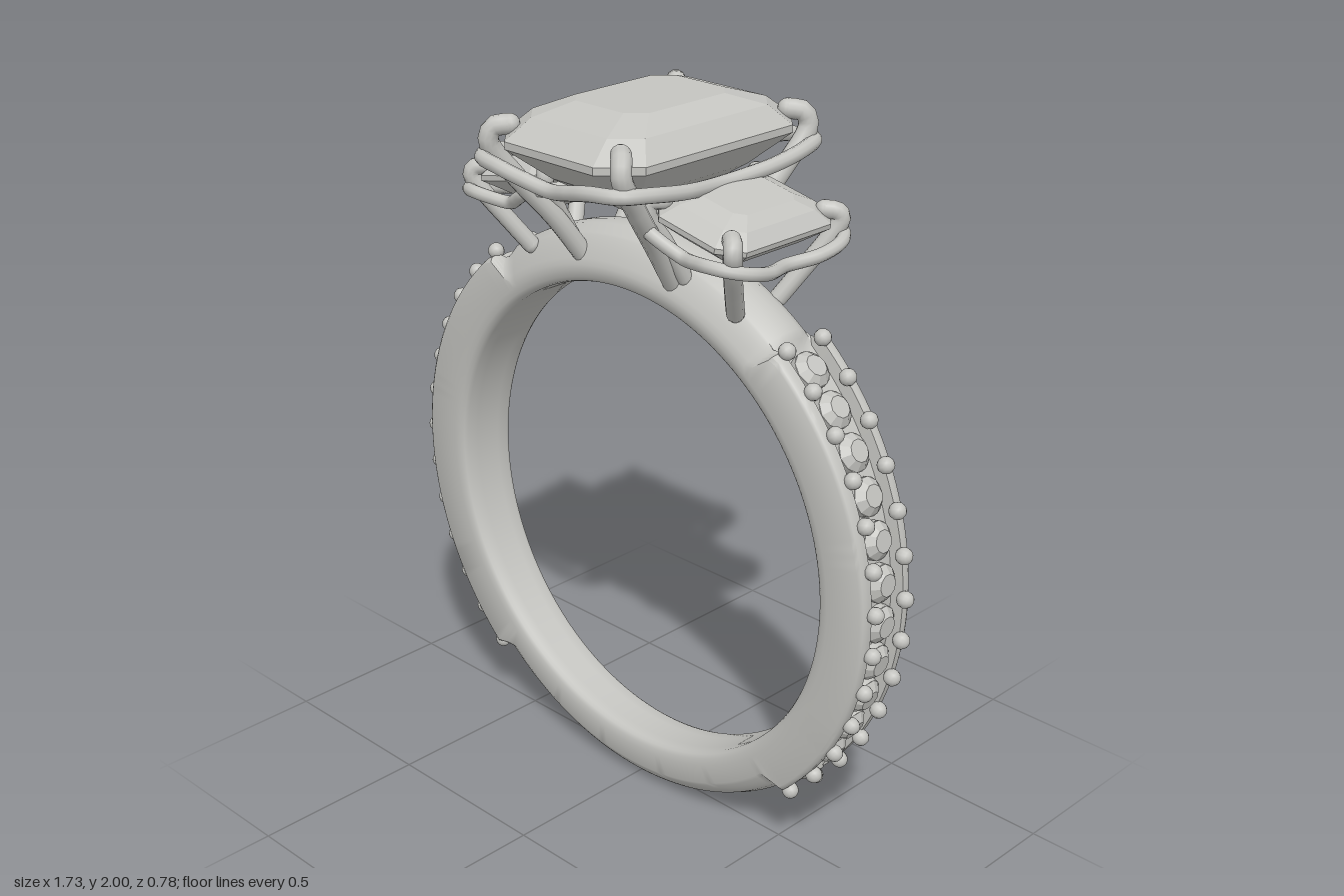
import * as THREE from 'three';
import { toCreasedNormals } from 'three/addons/utils/BufferGeometryUtils.js';

const silver = new THREE.MeshStandardMaterial({ color: 0xc4c4c0 });
silver.name = 'silver grey';

const CY = 0.82; // height of the ring's centre
const PAVE_LOW = THREE.MathUtils.degToRad(-46.5);
const PAVE_HIGH = THREE.MathUtils.degToRad(50.5);

function add(parent, name, geometry) {
  const mesh = new THREE.Mesh(geometry, silver);
  mesh.name = name;
  parent.add(mesh);
  return mesh;
}

function indexed(positions, index) {
  const g = new THREE.BufferGeometry();
  g.setAttribute('position', new THREE.Float32BufferAttribute(positions, 3));
  g.setIndex(index);
  return g;
}

// The band is widest at the top and tapers to the bottom.
const halfWidth = (a) => 0.095 + 0.017 * Math.sin(a);

// Band: cross-sections swept round, domed where plain, channelled where set with stones
function bandGeometry() {
  const us = [0, 0.3, 0.6, 0.645, 0.75, 0.86, 0.94, 1];
  const outer = [...us.slice(1).reverse().map((u) => -u), ...us];
  const inner = [[0.715, 1], [0.697, 0.97], [0.685, 0.9], [0.68, 0.78], [0.68, 0.4]];
  const steps = 240;
  const positions = [], index = [];
  let n = 0;
  for (let i = 0; i < steps; i++) {
    const a = (i / steps) * Math.PI * 2;
    const s = Math.sin(a), w = halfWidth(a);
    const side = Math.asin(s); // same angle for both sides of the ring
    const m = THREE.MathUtils.smoothstep(side, PAVE_LOW - 0.05, PAVE_LOW)
      * (1 - THREE.MathUtils.smoothstep(side, PAVE_HIGH, PAVE_HIGH + 0.05));
    const section = outer.map((u) => {
      const v = Math.abs(u);
      const dome = 0.825 + 0.005 * s - (0.075 + 0.025 * s) * v ** 3;
      const channel = v < 0.62 ? 0.797 : 0.832 - 0.012 * Math.max(0, (v - 0.86) / 0.14) ** 2;
      return [THREE.MathUtils.lerp(dome, channel, m), u * w];
    });
    inner.forEach(([r, u]) => section.push([r, u * w]));
    [...inner].reverse().forEach(([r, u]) => section.push([r, -u * w]));
    n = section.length;
    section.forEach(([r, z]) => positions.push(r * Math.cos(a), CY + r * s, z));
  }
  for (let i = 0; i < steps; i++) for (let k = 0; k < n; k++) {
    const j = (i + 1) % steps, l = (k + 1) % n;
    const a = i * n + k, b = j * n + k, c = i * n + l, d = j * n + l;
    index.push(a, b, c, b, d, c);
  }
  return toCreasedNormals(indexed(positions, index), 0.7);
}

// Step-cut gem: stacked cut-corner rectangles [half x, half z, y, corner], top to bottom
function gemGeometry(tiers) {
  const positions = [], index = [];
  tiers.forEach(([x, z, y, c]) => {
    [[x, c - z], [x, z - c], [x - c, z], [c - x, z], [-x, z - c], [-x, c - z], [c - x, -z], [x - c, -z]]
      .forEach(([px, pz]) => positions.push(px, y, pz));
  });
  const last = (tiers.length - 1) * 8;
  for (let t = 0; t < last; t += 8) for (let k = 0; k < 8; k++) {
    const l = (k + 1) % 8;
    index.push(t + k, t + l, t + 8 + k, t + l, t + 8 + l, t + 8 + k);
  }
  for (let k = 1; k < 7; k++) {
    index.push(0, k + 1, k);
    index.push(last, last + k, last + k + 1);
  }
  const g = indexed(positions, index).toNonIndexed();
  g.computeVertexNormals();
  return g;
}

// Round wire through points, with rounded ends
function prong(parent, name, points, radius) {
  const g = new THREE.Group();
  g.name = name;
  const path = points.map((p) => new THREE.Vector3(...p));
  add(g, 'prongWire', new THREE.TubeGeometry(new THREE.CatmullRomCurve3(path), 28, radius, 12));
  for (const p of [path[0], path[path.length - 1]]) {
    add(g, 'prongEnd', new THREE.SphereGeometry(radius, 12, 8)).position.copy(p);
  }
  parent.add(g);
}

// Wavy wire loop round a gem: high and wide near the corners, low and pinched between
function galleryGeometry(hx, hz, high, low, radius) {
  const quarter = [
    [hx, low, 0], [hx + 0.027, (high + low) / 2, hz * 0.45], [hx + 0.027, high, hz * 0.78],
    [hx - 0.005, high + 0.005, hz], [hx * 0.66, high, hz + 0.018], [hx * 0.35, (high + low) / 2, hz + 0.008],
    [0, low, hz - 0.008],
  ];
  const back = quarter.slice(0, -1).reverse();
  const half = [...quarter, ...back.map(([x, y, z]) => [-x, y, z])];
  const rest = half.slice(1, -1).reverse().map(([x, y, z]) => [x, y, -z]);
  const pts = [...half, ...rest].map((p) => new THREE.Vector3(...p));
  return new THREE.TubeGeometry(new THREE.CatmullRomCurve3(pts, true), 140, radius, 10, true);
}

function centreSetting() {
  const g = new THREE.Group();
  g.name = 'centreSetting';
  add(g, 'centreGem', gemGeometry([
    [0.13, 0.18, 2.0, 0.045], [0.2, 0.285, 1.967, 0.065], [0.248, 0.355, 1.915, 0.09],
    [0.248, 0.355, 1.895, 0.09], [0.16, 0.25, 1.81, 0.06], [0.01, 0.08, 1.705, 0.005],
  ]));
  add(g, 'centreGallery', galleryGeometry(0.25, 0.355, 1.855, 1.82, 0.02));
  for (const x of [-1, 1]) for (const z of [-1, 1]) {
    prong(g, 'centreProng', [
      [0.165, 1.55, 0.08], [0.185, 1.67, 0.165], [0.22, 1.8, 0.27], [0.238, 1.9, 0.338],
      [0.228, 1.935, 0.328], [0.198, 1.942, 0.3],
    ].map((p) => [p[0] * x, p[1], p[2] * z]), 0.027);
  }
  return g;
}

// Smaller gem tilted outward on the +x shoulder
function sideSetting() {
  const g = new THREE.Group();
  g.name = 'sideSetting';
  const head = new THREE.Group();
  head.name = 'sideHead';
  head.position.set(0.325, 1.738, 0);
  head.rotation.z = -0.2;
  add(head, 'sideGem', gemGeometry([
    [0.075, 0.11, 0.072, 0.025], [0.115, 0.165, 0.052, 0.04], [0.15, 0.21, 0.022, 0.055],
    [0.15, 0.21, 0.008, 0.055], [0.1, 0.14, -0.04, 0.035], [0.008, 0.05, -0.095, 0.004],
  ]));
  add(head, 'sideGallery', galleryGeometry(0.155, 0.212, -0.018, -0.05, 0.018));
  g.add(head);
  for (const z of [-1, 1]) {
    const flip = (p) => [p[0], p[1], p[2] * z];
    prong(g, 'outerSideProng', [
      [0.375, 1.53, 0.08], [0.41, 1.6, 0.125], [0.45, 1.68, 0.175], [0.472, 1.735, 0.2],
      [0.465, 1.752, 0.192], [0.44, 1.757, 0.17],
    ].map(flip), 0.024);
    prong(g, 'innerSideProng', [
      [0.2, 1.58, 0.08], [0.195, 1.68, 0.14], [0.186, 1.77, 0.195], [0.19, 1.8, 0.192], [0.215, 1.805, 0.17],
    ].map(flip), 0.022);
  }
  return g;
}

// Row of round stones held by pairs of beads on the +x side of the band
function paveRow() {
  const g = new THREE.Group();
  g.name = 'paveRow';
  const crown = new THREE.CylinderGeometry(0.03, 0.051, 0.02, 10).toNonIndexed();
  crown.computeVertexNormals();
  const girdle = new THREE.CylinderGeometry(0.051, 0.051, 0.02, 20);
  const bead = new THREE.SphereGeometry(0.023, 12, 8);
  const count = 12, step = (PAVE_HIGH - PAVE_LOW) / count;
  const place = (mesh, r, a, z) => {
    mesh.position.set(r * Math.cos(a), CY + r * Math.sin(a), z);
    mesh.rotation.z = a - Math.PI / 2;
  };
  for (let i = 0; i <= count; i++) {
    const edge = PAVE_LOW + i * step;
    for (const z of [-1, 1]) place(add(g, 'bead', bead), 0.842, edge, z * halfWidth(edge) * 0.62);
    if (i === count) break;
    place(add(g, 'paveStone', crown), 0.826, edge + step / 2, 0);
    place(add(g, 'paveGirdle', girdle), 0.806, edge + step / 2, 0);
  }
  return g;
}

export function createModel() {
  const model = new THREE.Group();
  model.name = 'threeStoneRing';
  add(model, 'band', bandGeometry());
  model.add(centreSetting());
  for (const [name, turn] of [['leftShoulder', 0], ['rightShoulder', Math.PI]]) {
    const shoulder = new THREE.Group();
    shoulder.name = name;
    shoulder.rotation.y = turn;
    shoulder.add(sideSetting(), paveRow());
    model.add(shoulder);
  }
  return model;
}
